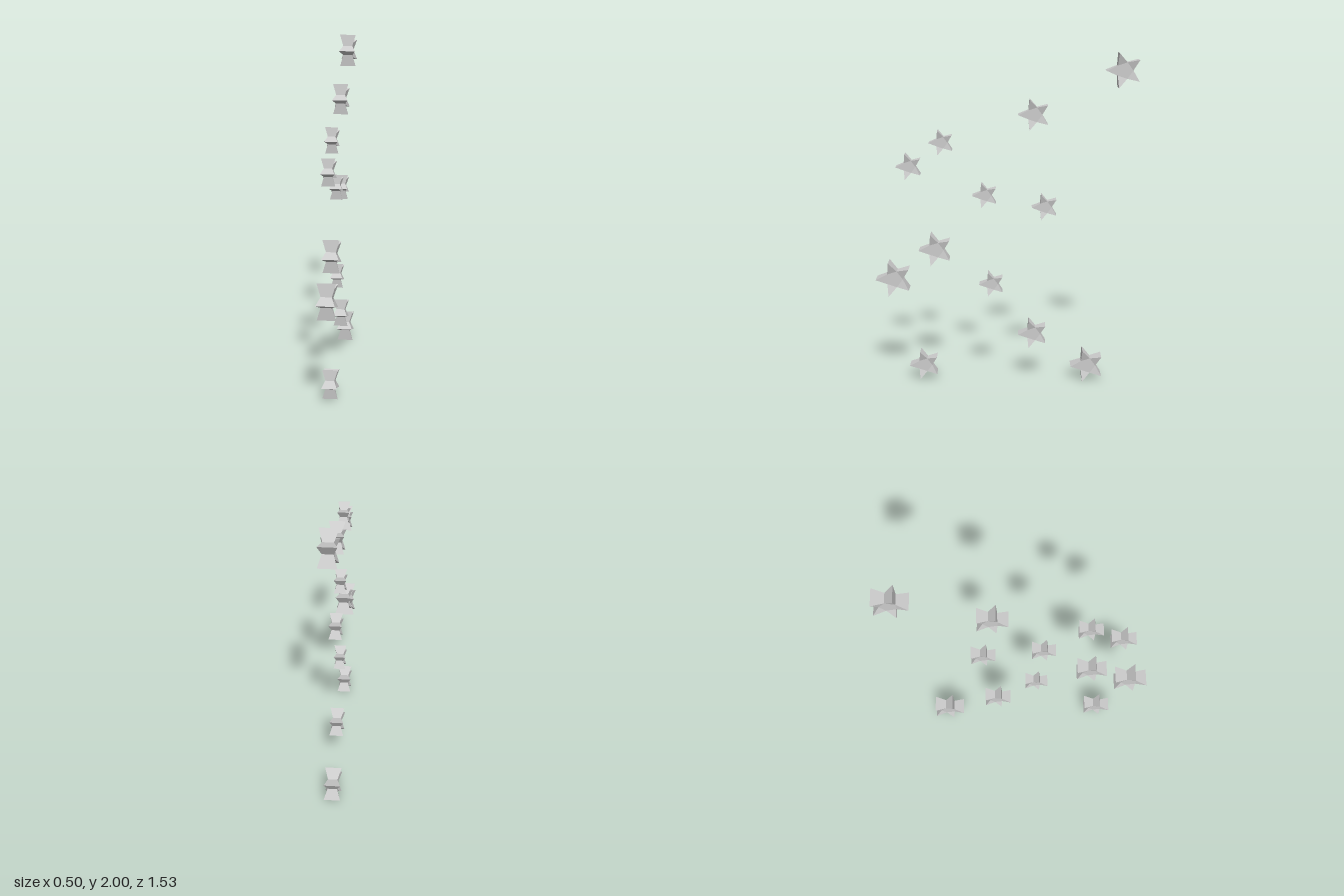
import * as THREE from 'three';

const POINTS = 5;
const INNER = 0.47;      // valley radius relative to tip radius
const HALF_DEPTH = 0.48; // half thickness at the tips
const PINCH = 0.58;      // thickness of the valleys relative to the tips
const TILT = THREE.MathUtils.degToRad(15);

// Unit star in the XY plane, thick at the tips and pinched at the valleys
function starGeometry() {
  const n = POINTS * 2;
  const pos = [];
  const index = [];
  for (const side of [1, -1]) {
    for (let i = 0; i < n; i++) {
      const a = (i / n) * Math.PI * 2;
      const tip = i % 2 === 0;
      const r = tip ? 1 : INNER;
      pos.push(r * Math.cos(a), r * Math.sin(a), side * HALF_DEPTH * (tip ? 1 : PINCH));
    }
  }
  // cap centres, level with the valleys
  pos.push(0, 0, HALF_DEPTH * PINCH, 0, 0, -HALF_DEPTH * PINCH);
  for (let i = 0; i < n; i++) {
    const j = (i + 1) % n;
    index.push(i, n + i, n + j, i, n + j, j); // rim wall
  }
  for (let i = 0; i < n; i += 2) {
    const prev = (i + n - 1) % n;
    const next = i + 1;
    index.push(prev, i, next, 2 * n, prev, next);                         // front arm and core
    index.push(n + next, n + i, n + prev, 2 * n + 1, n + next, n + prev); // back arm and core
  }
  const g = new THREE.BufferGeometry();
  g.setAttribute('position', new THREE.Float32BufferAttribute(pos, 3));
  g.setIndex(index);
  const flat = g.toNonIndexed();
  flat.computeVertexNormals();
  return flat;
}

export function createModel() {
  const group = new THREE.Group();
  group.name = 'starCluster';
  const geometry = starGeometry();
  const material = new THREE.MeshStandardMaterial({ color: 0xcccccc, flatShading: true });

  // z, y and tip radius of each star; all lie in one tilted vertical plane
  const stars = [
    [-0.67, 1.9, 0.105], [-0.172, 1.645, 0.095], [0.354, 1.48, 0.076], [0.54, 1.337, 0.08],
    [0.107, 1.165, 0.077], [-0.237, 1.095, 0.08], [0.395, 0.832, 0.101], [0.64, 0.65, 0.11],
    [0.07, 0.618, 0.077], [-0.172, 0.303, 0.091], [0.469, 0.1, 0.092], [-0.495, 0.1, 0.104],
  ];
  stars.forEach(([z, y, r], i) => {
    const star = new THREE.Mesh(geometry, material);
    star.name = `star${i + 1}`;
    star.position.set(-z * Math.tan(TILT), y, z);
    star.rotation.y = -Math.PI / 2 - TILT;
    star.scale.setScalar(r);
    group.add(star);
  });
  return group;
}
